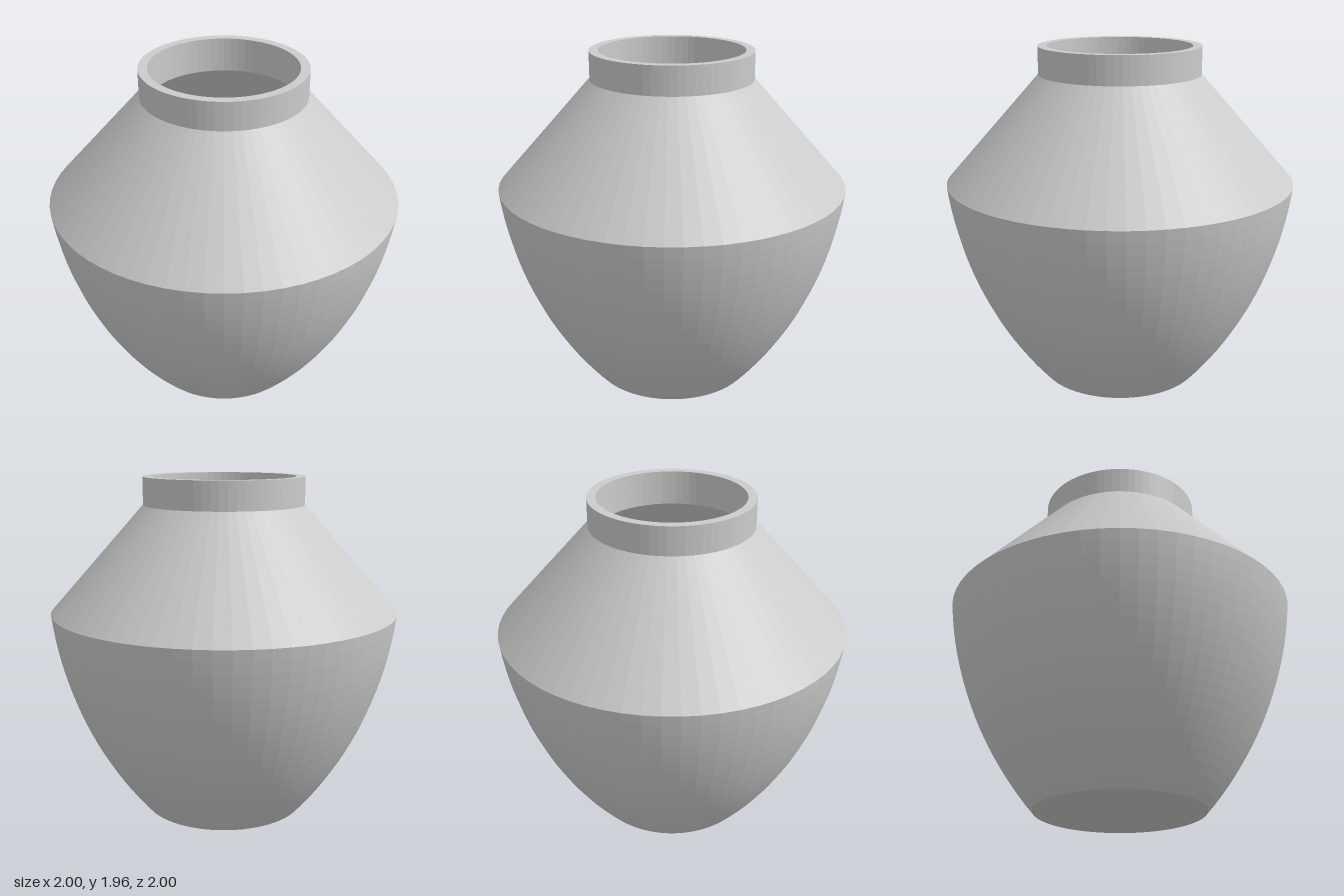
import * as THREE from 'three';

const SEGMENTS = 64;
const WALL = 0.055;

// Points along a circular arc centred at (cx, cy), from angle a0 to a1
function arc(cx, cy, r, a0, a1, n) {
  return Array.from({ length: n + 1 }, (_, i) => {
    const a = a0 + ((a1 - a0) * i) / n;
    return [cx + r * Math.cos(a), cy + r * Math.sin(a)];
  });
}

export function createModel() {
  const group = new THREE.Group();
  const material = new THREE.MeshStandardMaterial({ color: 0xcccccc, flatShading: true });

  // Turned part from [radius, height] pairs; rising profiles face outward
  const turn = (name, profile) => {
    const points = profile.map(([r, y]) => new THREE.Vector2(r, y));
    const mesh = new THREE.Mesh(new THREE.LatheGeometry(points, SEGMENTS), material);
    mesh.name = name;
    group.add(mesh);
  };

  // Bulging belly: an arc from the foot to the widest ring
  const foot = new THREE.Vector2(0.48, 0);
  const belly = new THREE.Vector2(1, 1.19);
  const chord = belly.clone().sub(foot);
  const half = chord.length() / 2;
  const sagitta = 0.1;
  const R = (half * half + sagitta * sagitta) / (2 * sagitta);
  const inward = new THREE.Vector2(-chord.y, chord.x).normalize();
  const centre = foot.clone().add(belly).multiplyScalar(0.5).addScaledVector(inward, R - sagitta);
  const a0 = Math.atan2(foot.y - centre.y, foot.x - centre.x);
  const a1 = Math.atan2(belly.y - centre.y, belly.x - centre.x);
  const neckR = 0.462, neckY = 1.795, topY = 1.955;
  const innerR = neckR - 0.051;

  turn('base', [[0, 0], [foot.x, 0]]);
  turn('belly', arc(centre.x, centre.y, R, a0, a1, 20));
  turn('shoulder', [[belly.x, belly.y], [neckR, neckY]]);
  turn('neck', [[neckR, neckY], [neckR, topY]]);
  turn('rim', [[neckR, topY], [innerR, topY]]);

  // Hollow inside, one wall thickness in from the outer surface
  const innerRadius = R - WALL;
  const floorAngle = Math.asin((WALL - centre.y) / innerRadius);
  const innerBelly = arc(centre.x, centre.y, innerRadius, a1 - 0.012, floorAngle, 20);
  turn('neckInside', [[innerR, topY], [innerR, 1.76]]);
  turn('shoulderInside', [[innerR, 1.76], innerBelly[0]]);
  turn('bellyInside', innerBelly);
  turn('floorInside', [innerBelly[20], [0, WALL]]);

  return group;
}
